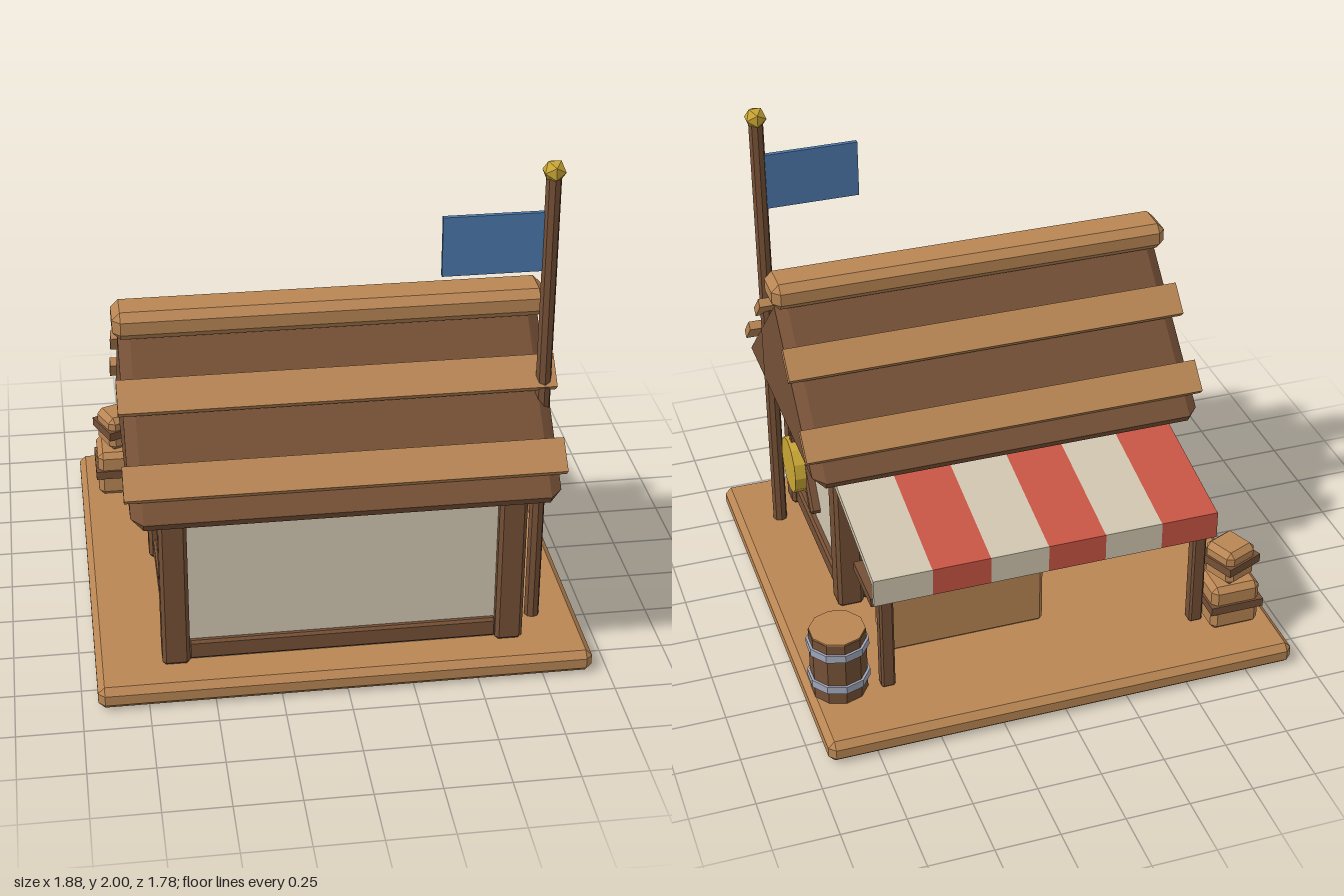
import * as THREE from 'three';
import { ConvexGeometry } from 'three/addons/geometries/ConvexGeometry.js';

const mat = (name, color) => {
  const m = new THREE.MeshStandardMaterial({ color });
  m.name = name;
  return m;
};

export function createModel() {
  const root = new THREE.Group();
  root.name = 'marketHouse';
  const darkWood = mat('dark wood', 0x755036);
  const lightWood = mat('light wood', 0xb98654);
  const cream = mat('cream', 0xd0c6b0);
  const red = mat('red cloth', 0xc85545);
  const blue = mat('blue cloth', 0x4c77a9);
  const gold = mat('gold', 0xc9a535);
  const metal = mat('grey metal', 0xa2a8ba);

  const add = (name, geo, material, x, y, z, parent = root) => {
    const m = new THREE.Mesh(geo, material);
    m.name = name;
    m.position.set(x, y, z);
    parent.add(m);
    return m;
  };
  const box = (w, h, d) => new THREE.BoxGeometry(w, h, d);
  const cyl = (r, h, n) => new THREE.CylinderGeometry(r, r, h, n).toNonIndexed();
  const flat = (g) => { g.computeVertexNormals(); return g; };

  // Box with every edge chamfered by b
  const chamfer = (w, h, d, b) => {
    const pts = [];
    for (const sx of [-1, 1]) for (const sy of [-1, 1]) for (const sz of [-1, 1]) {
      const [x, y, z] = [w / 2, h / 2, d / 2];
      pts.push(
        new THREE.Vector3(sx * x, sy * (y - b), sz * (z - b)),
        new THREE.Vector3(sx * (x - b), sy * y, sz * (z - b)),
        new THREE.Vector3(sx * (x - b), sy * (y - b), sz * z));
    }
    return new ConvexGeometry(pts);
  };

  // Ground platform
  add('platform', chamfer(1.88, 0.09, 1.78, 0.025), lightWood, 0, 0.045, 0);

  // Timber-framed house
  const cz = 0.33;
  add('walls', box(1.29, 0.66, 0.78), cream, 0, 0.42, cz);
  for (const s of [-1, 1]) {
    for (const t of [-1, 1])
      add('cornerPost', chamfer(0.105, 0.67, 0.105, 0.014), darkWood, s * 0.637, 0.425, cz + t * 0.378);
    for (const [y, h] of [[0.14, 0.08], [0.74, 0.04]]) {
      add('longBeam', chamfer(1.18, h, 0.07, 0.01), darkWood, 0, y, cz + s * 0.378);
      add('sideBeam', chamfer(0.07, h, 0.68, 0.01), darkWood, s * 0.637, y, cz);
    }
  }
  add('wallBrace', chamfer(0.05, 0.52, 0.05, 0.01), darkWood, 0.66, 0.455, 0.505).rotation.x = 0.63;

  // Serving hatch in the back wall
  add('hatch', box(0.56, 0.26, 0.05), darkWood, 0.26, 0.435, -0.083);
  add('hatchSill', box(0.6, 0.04, 0.05), lightWood, 0.26, 0.29, -0.085);

  // Gable roof with softened ends and eaves
  const roofPts = [];
  for (const s of [-1, 1]) {
    for (const t of [-1, 1]) roofPts.push(
      new THREE.Vector3(s * 0.745, 0.79, t * 0.552),
      new THREE.Vector3(s * 0.745, 0.76, t * 0.535),
      new THREE.Vector3(s * 0.79, 0.795, t * 0.505));
    roofPts.push(new THREE.Vector3(s * 0.745, 1.32, 0), new THREE.Vector3(s * 0.79, 1.275, 0));
  }
  add('roof', new ConvexGeometry(roofPts), darkWood, 0, 0, cz);
  add('ridgeBeam', chamfer(1.62, 0.11, 0.175, 0.03), lightWood, 0, 1.345, cz);
  for (const s of [-1, 1]) for (const [y, dz] of [[1.142, 0.235], [0.91, 0.46]])
    add('roofPlank', box(1.62, 0.035, 0.13), lightWood, 0, y, cz + s * dz).rotation.x = s * 0.78;

  // Flagpole
  add('flagpole', flat(cyl(0.029, 1.86, 8)), darkWood, 0.763, 1.02, 0.59);
  add('finial', new THREE.IcosahedronGeometry(0.045, 0), gold, 0.763, 1.957, 0.59);
  add('flag', box(0.375, 0.23, 0.018), blue, 0.557, 1.685, 0.585);

  // Round hanging sign
  add('signArm', box(0.14, 0.022, 0.03), darkWood, 0.7, 0.72, 0.255);
  add('signHook', box(0.02, 0.04, 0.025), darkWood, 0.763, 0.705, 0.255);
  add('sign', flat(cyl(0.115, 0.045, 12)), gold, 0.763, 0.58, 0.255).rotation.z = Math.PI / 2;

  // Striped awning on two posts
  for (let i = 0; i < 6; i++) {
    const x = -0.575 + i * 0.23;
    const cloth = i % 2 ? cream : red;
    add('awningStripe', box(0.23, 0.03, 0.555), cloth, x, 0.66, -0.376).rotation.x = -0.19;
    add('awningValance', box(0.23, 0.115, 0.022), cloth, x, 0.568, -0.643);
  }
  for (const s of [-1, 1])
    add('awningPost', chamfer(0.055, 0.52, 0.055, 0.008), darkWood, s * 0.635, 0.35, -0.602);

  // Crate with a strap round its middle; y is its base
  const crate = (w, h, x, y, z, turn) => {
    const g = new THREE.Group();
    g.name = 'crate';
    g.position.set(x, y, z);
    g.rotation.y = turn;
    add('crateBody', chamfer(w, h, w, 0.022), lightWood, 0, h / 2, 0, g);
    add('crateStrap', box(w + 0.018, 0.036, w + 0.018), darkWood, 0, h * 0.53, 0, g);
    root.add(g);
  };
  crate(0.2, 0.2, -0.768, 0.09, -0.613, 0);
  crate(0.15, 0.15, -0.768, 0.295, -0.62, 0.4);

  // Counter and goods
  add('counter', chamfer(0.64, 0.26, 0.2, 0.015), lightWood, 0.26, 0.22, -0.33);
  add('counterTop', box(0.78, 0.038, 0.25), darkWood, 0.26, 0.368, -0.328);
  add('goods', new THREE.IcosahedronGeometry(0.075, 0), lightWood, 0.52, 0.465, -0.33);
  crate(0.135, 0.11, 0.12, 0.387, -0.328, 0);

  // Barrel with two hoops
  const [bx, bz] = [0.813, -0.56];
  add('barrel', flat(cyl(0.11, 0.275, 10)), darkWood, bx, 0.228, bz);
  add('barrelLid', flat(cyl(0.108, 0.008, 10)), lightWood, bx, 0.368, bz);
  for (const y of [0.16, 0.31])
    add('barrelHoop', flat(cyl(0.12, 0.032, 10)), metal, bx, y, bz);

  return root;
}
